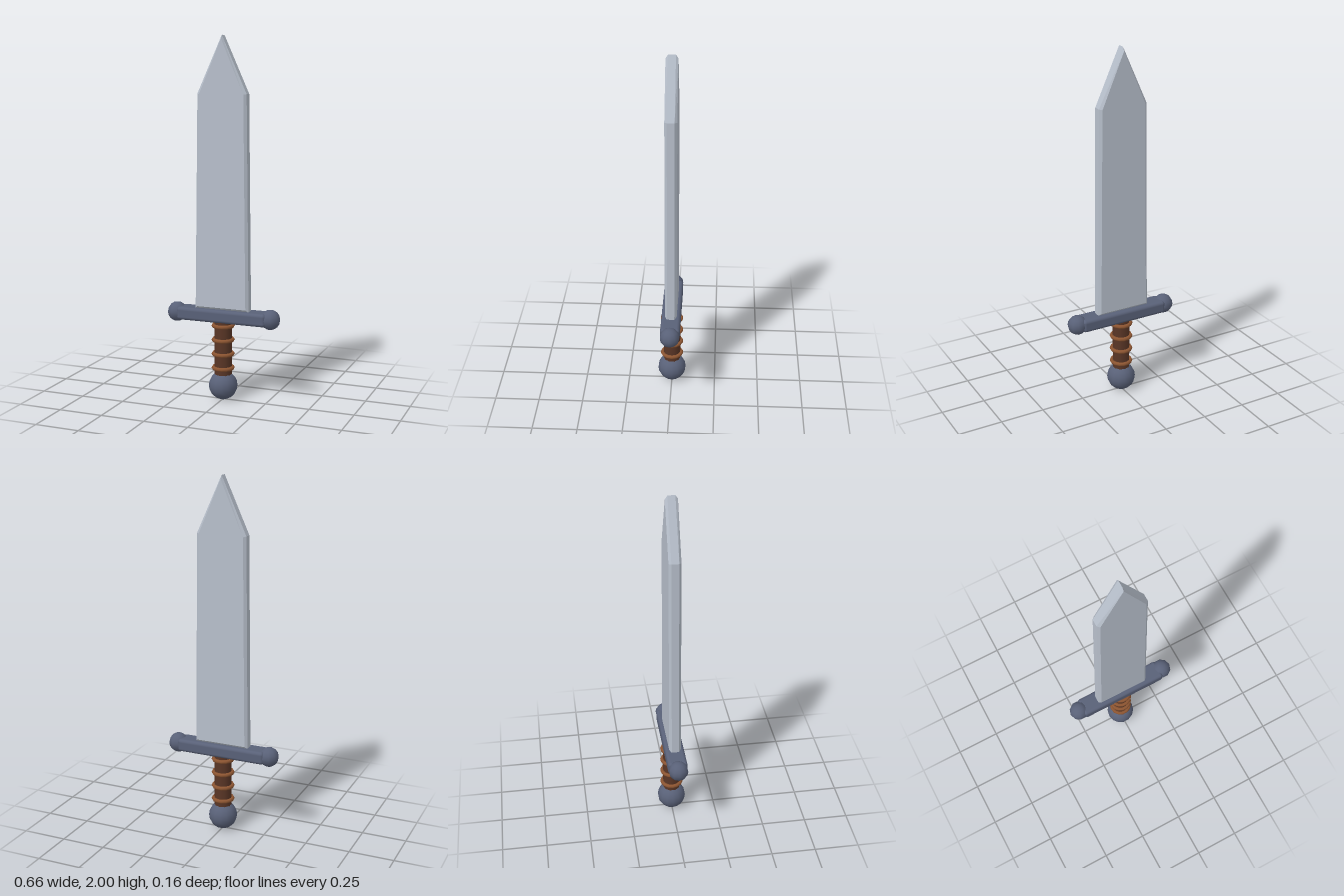
import * as THREE from 'three';
import { RoundedBoxGeometry } from 'three/addons/geometries/RoundedBoxGeometry.js';

const material = (name, color) => {
  const m = new THREE.MeshStandardMaterial({ color });
  m.name = name;
  return m;
};

export function createModel() {
  const steel = material('blade steel', 0xb8c0cc);
  const iron = material('dark iron', 0x596178);
  const leather = material('grip leather', 0x5a3626);
  const cord = material('wrap cord', 0x8e5632);

  const group = new THREE.Group();
  group.name = 'shortSword';
  const add = (name, geometry, mat, x, y, z) => {
    const mesh = new THREE.Mesh(geometry, mat);
    mesh.name = name;
    mesh.position.set(x, y, z);
    group.add(mesh);
    return mesh;
  };

  // Tapered blade with a pointed tip and bevelled edges
  const outline = new THREE.Shape([
    [-0.142, 0.524], [0.142, 0.524], [0.127, 1.688], [0, 1.981], [-0.127, 1.688],
  ].map(([x, y]) => new THREE.Vector2(x, y)));
  const bladeGeometry = new THREE.ExtrudeGeometry(outline, {
    depth: 0.04, bevelEnabled: true, bevelSegments: 1, bevelSize: 0.014, bevelThickness: 0.013,
  });
  add('blade', bladeGeometry, steel, 0, 0, -0.02);

  // Crossguard with a ball at each end
  add('crossguard', new RoundedBoxGeometry(0.52, 0.072, 0.108, 3, 0.018), iron, 0, 0.477, 0);
  for (const side of [-1, 1]) {
    add(side > 0 ? 'leftGuardBall' : 'rightGuardBall',
      new THREE.SphereGeometry(0.055, 10, 8), iron, side * 0.275, 0.477, 0);
  }

  // Grip with wrapped cord rings
  add('grip', new THREE.CylinderGeometry(0.048, 0.048, 0.34, 10), leather, 0, 0.29, 0);
  for (let i = 0; i < 4; i++) {
    const ring = add('gripRing', new THREE.TorusGeometry(0.054, 0.011, 6, 14), cord, 0, 0.181 + i * 0.08, 0);
    ring.rotation.x = Math.PI / 2;
  }

  // Pommel
  add('pommel', new THREE.SphereGeometry(0.08, 14, 10), iron, 0, 0.08, 0);

  return group;
}
